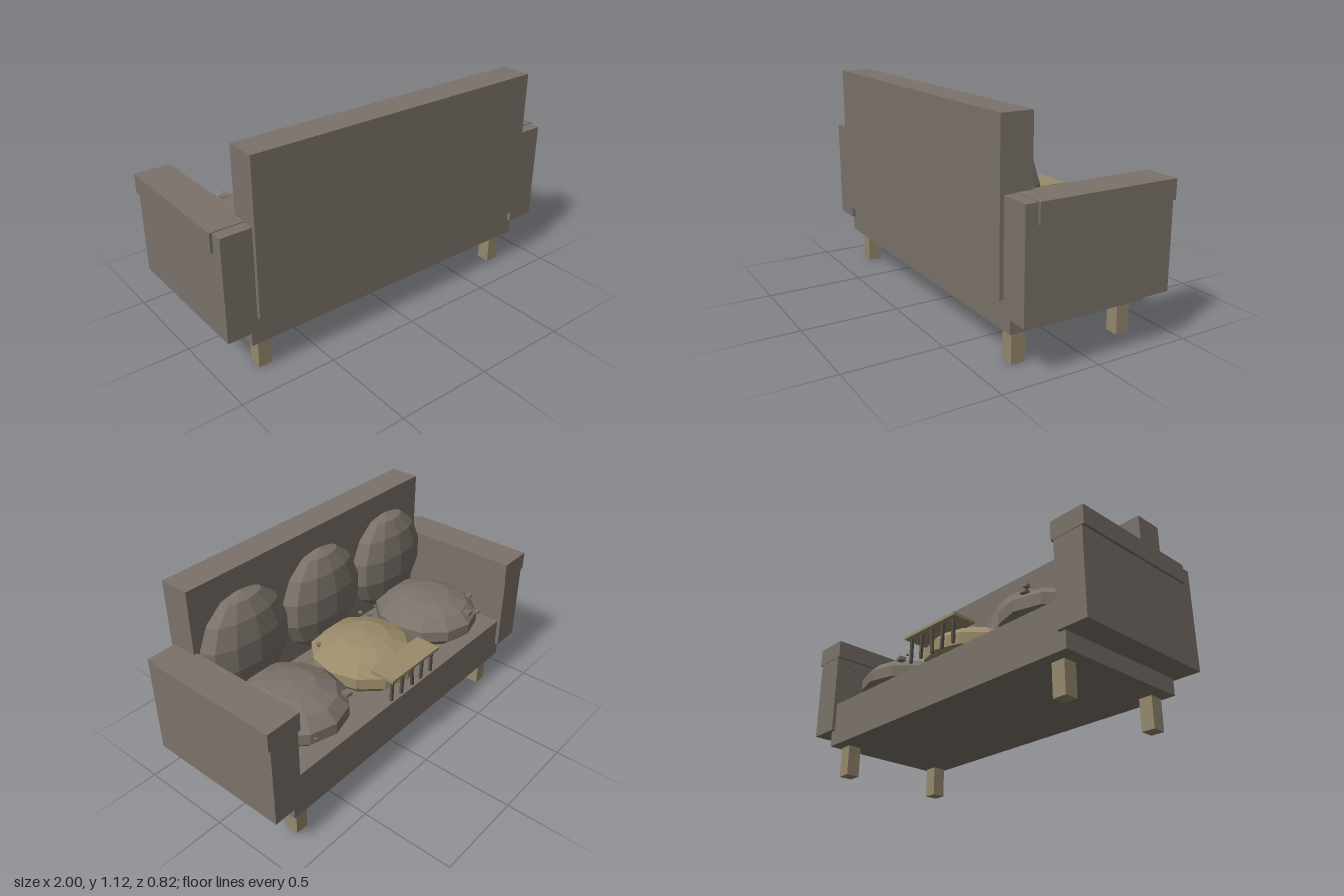
import * as THREE from 'three';

const mat = (name, color) => {
  const m = new THREE.MeshStandardMaterial({ color, flatShading: true });
  m.name = name;
  return m;
};

export function createModel() {
  const group = new THREE.Group();
  const fabric = mat('greyFabric', 0x7b726a);
  const wood = mat('paleWood', 0x95886d);
  const tan = mat('tanFabric', 0x9a8b6a);
  const dark = mat('darkThread', 0x57504a);

  // Box given by its extents on each axis
  const box = (name, material, [x0, x1], [y0, y1], [z0, z1]) => {
    const mesh = new THREE.Mesh(new THREE.BoxGeometry(x1 - x0, y1 - y0, z1 - z0), material);
    mesh.position.set((x0 + x1) / 2, (y0 + y1) / 2, (z0 + z1) / 2);
    mesh.name = name;
    group.add(mesh);
    return mesh;
  };
  // Faceted pillow: a coarse, squashed sphere
  const pillow = (name, material, pos, radii) => {
    const mesh = new THREE.Mesh(new THREE.SphereGeometry(1, 12, 7), material);
    mesh.position.set(...pos);
    mesh.scale.set(...radii);
    mesh.name = name;
    group.add(mesh);
  };

  // Frame
  box('seatBase', fabric, [-0.855, 0.855], [0.172, 0.41], [-0.375, 0.37]);
  box('backrest', fabric, [-0.832, 0.832], [0.328, 1.12], [0.25, 0.41]);

  // Arms with caps, and legs
  for (const s of [-1, 1]) {
    const span = (a, b) => (s > 0 ? [a, b] : [-b, -a]);
    box('arm', fabric, span(0.825, 0.987), [0.256, 0.783], [-0.394, 0.39]);
    box('armCap', fabric, span(0.812, 1), [0.69, 0.787], [-0.397, 0.328]);
    box('backLeg', wood, span(0.735, 0.805), [0, 0.16], [0.258, 0.33]);
    box('frontLeg', wood, span(0.735, 0.805), [0, 0.16], [-0.333, -0.261]);
  }

  // Seat and back cushions
  for (const x of [-0.54, 0, 0.54]) {
    pillow('seatCushion', x === 0 ? tan : fabric, [x, 0.495, -0.07], [0.277, 0.135, 0.295]);
    pillow('backCushion', fabric, [x, 0.725, 0.23], [0.277, 0.285, 0.118]);
  }

  // Blanket flap with hanging fringe
  box('blanketFlap', tan, [-0.19, 0.19], [0.57, 0.586], [-0.407, -0.268]);
  for (let i = 0; i < 5; i++) {
    const x = -0.16 + i * 0.08;
    const strand = box('fringe', dark, [x - 0.007, x + 0.007], [0.44, 0.572], [-0.387, -0.373]);
    strand.rotation.z = 0.08 * Math.sin(i * 2.3);
  }

  // Scattered crumbs: x, z, size
  const crumbs = [
    [-0.62, -0.352, 0.025], [-0.577, -0.32, 0.035], [-0.727, -0.225, 0.03], [-0.79, -0.267, 0.014],
    [-0.776, -0.027, 0.018], [-0.38, -0.23, 0.01], [-0.305, 0.11, 0.012], [-0.22, 0.075, 0.03],
    [-0.2, 0.125, 0.02], [0.17, 0.09, 0.025], [0.315, -0.29, 0.012], [0.38, -0.28, 0.038],
    [0.71, -0.385, 0.012],
  ];
  crumbs.forEach(([x, z, d], i) => {
    const h = d / 2;
    const crumb = box('crumb', fabric, [x - h, x + h], [0.565 - h / 2, 0.565 + h / 2], [z - h, z + h]);
    crumb.rotation.y = i * 1.7;
  });

  return group;
}
